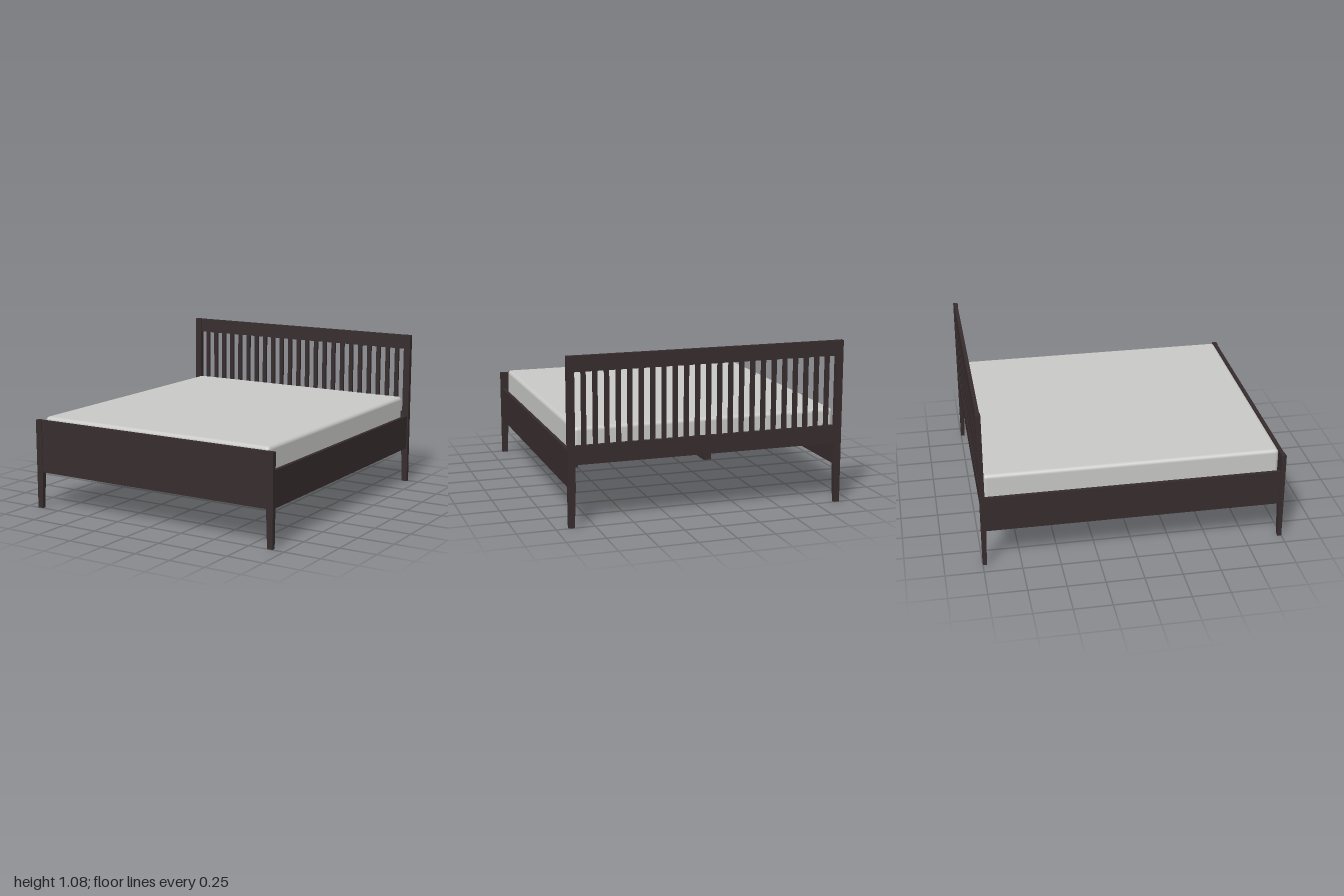
import * as THREE from 'three';
import { RoundedBoxGeometry } from 'three/addons/geometries/RoundedBoxGeometry.js';

export function createModel() {
  const wood = new THREE.MeshStandardMaterial({ color: 0x362c2d });
  wood.name = 'dark brown wood';
  const fabric = new THREE.MeshStandardMaterial({ color: 0xc8c8c6 });
  fabric.name = 'light grey fabric';

  const bed = new THREE.Group();
  bed.name = 'bed';

  // Box given by its low and high limits on each axis
  function box(parent, name, [x0, x1], [y0, y1], [z0, z1]) {
    const mesh = new THREE.Mesh(new THREE.BoxGeometry(x1 - x0, y1 - y0, z1 - z0), wood);
    mesh.position.set((x0 + x1) / 2, (y0 + y1) / 2, (z0 + z1) / 2);
    mesh.name = name;
    parent.add(mesh);
    return mesh;
  }
  function group(name) {
    const g = new THREE.Group();
    g.name = name;
    bed.add(g);
    return g;
  }

  // Corner post: straight above, with a leg tapering on its inner faces
  function post(parent, name, sx, sz, top) {
    const xs = [sx * 0.872, sx * 0.92].sort((a, b) => a - b);
    const zs = [sz * 0.968, sz].sort((a, b) => a - b);
    box(parent, name, xs, [0.25, top], zs);
    const leg = box(parent, name + 'Leg', xs, [0, 0.25], zs);
    const p = leg.geometry.attributes.position;
    for (let i = 0; i < p.count; i++) {
      if (p.getY(i) > 0) continue;
      if (p.getX(i) * sx < 0) p.setX(i, p.getX(i) + sx * 0.009);
      if (p.getZ(i) * sz < 0) p.setZ(i, p.getZ(i) + sz * 0.006);
    }
    leg.geometry.computeVertexNormals();
  }

  // Headboard with vertical spindles
  const headboard = group('headboard');
  const footboard = group('footboard');
  for (const s of [-1, 1]) {
    post(headboard, 'headPost', s, -1, 1.08);
    post(footboard, 'footPost', s, 1, 0.61);
  }
  box(headboard, 'topRail', [-0.872, 0.872], [0.98, 1.08], [-0.996, -0.972]);
  box(headboard, 'lowerRail', [-0.872, 0.872], [0.4, 0.52], [-0.996, -0.972]);
  for (let i = -11; i <= 11; i++) {
    const x = i * 0.0739;
    box(headboard, 'spindle', [x - 0.015, x + 0.015], [0.52, 0.98], [-0.992, -0.976]);
  }

  // Solid foot panel
  box(footboard, 'footPanel', [-0.872, 0.872], [0.25, 0.61], [0.972, 0.996]);

  // Side rails and the ledges that carry the slats
  const frame = group('frame');
  for (const s of [-1, 1]) {
    const span = (a, b) => (s > 0 ? [a, b] : [-b, -a]);
    box(frame, 'sideRail', span(0.889, 0.912), [0.25, 0.49], [-0.968, 0.968]);
    box(frame, 'slatLedge', span(0.845, 0.876), [0.375, 0.41], [-0.955, 0.955]);
  }
  box(frame, 'centreBeam', [-0.025, 0.025], [0.355, 0.41], [-0.972, 0.972]);

  // Slats across the bed
  const slats = group('slats');
  const count = 16, pitch = 0.1215;
  for (let i = 0; i < count; i++) {
    const z = (i - (count - 1) / 2) * pitch;
    box(slats, 'slat', [-0.877, 0.877], [0.41, 0.43], [z - 0.042, z + 0.042]);
  }

  // Mattress
  const mattress = new THREE.Mesh(new RoundedBoxGeometry(1.74, 0.2, 1.932, 4, 0.025), fabric);
  mattress.position.set(0, 0.53, -0.002);
  mattress.name = 'mattress';
  bed.add(mattress);

  return bed;
}
